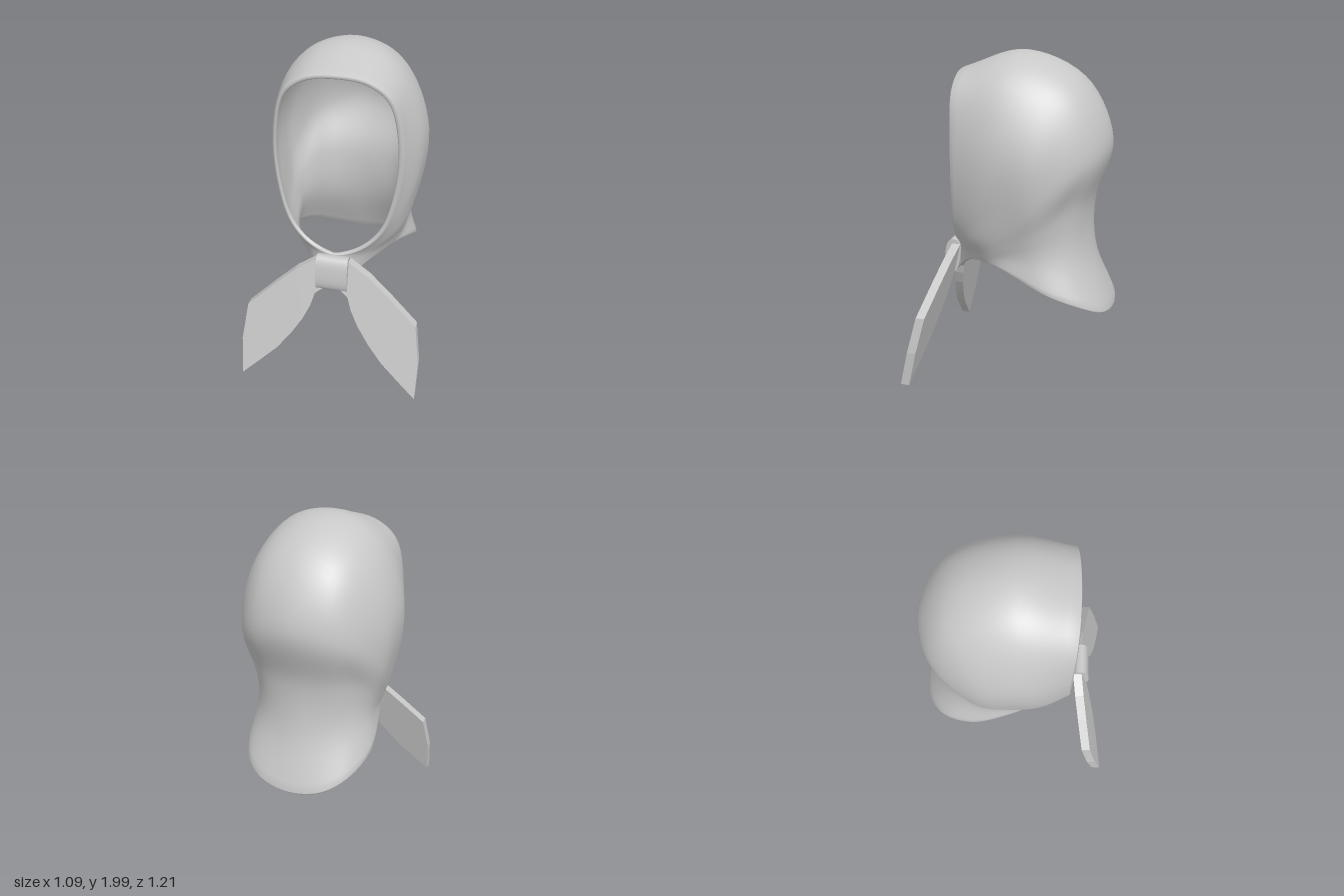
import * as THREE from 'three';

const V = (x, y, z) => new THREE.Vector3(x, y, z);

// Left half of the hood: lines running from the face edge to the neck hem,
// ordered from the crown centre down the side to the chin
const ribs = [
  [[0, 1.895, .335], [0, 2, -.02], [0, 1.86, -.37], [0, 1.5, -.555], [0, 1.12, -.458], [0, .82, -.475], [0, .47, -.6]],
  [[.18, 1.87, .33], [.2, 1.95, -.02], [.21, 1.79, -.37], [.21, 1.45, -.51], [.2, 1.12, -.42], [.2, .84, -.42], [.2, .5, -.565]],
  [[.31, 1.77, .32], [.345, 1.81, 0], [.35, 1.68, -.28], [.34, 1.38, -.41], [.31, 1.1, -.33], [.3, .86, -.33], [.33, .57, -.46]],
  [[.37, 1.5, .31], [.447, 1.52, .05], [.457, 1.42, -.16], [.43, 1.2, -.22], [.375, 1, -.21], [.36, .85, -.21], [.395, .65, -.27]],
  [[.35, 1.2, .32], [.425, 1.2, .14], [.43, 1.14, 0], [.41, 1.03, -.06], [.38, .93, -.07], [.36, .84, -.07], [.37, .735, -.06]],
  [[.275, .97, .34], [.345, .93, .2], [.34, .85, .11], [.31, .775, .11]],
  [[.15, .85, .365], [.185, .8, .31], [.2, .745, .27]],
  [[0, .81, .385], [0, .62, .4]],
];

function hoodGeometry(nu = 80, nv = 40, thick = 0.024) {
  const curves = ribs.map(r => new THREE.CatmullRomCurve3(r.map(p => V(...p))));
  // Outer skin: one closed ring per step from face edge to hem
  const outer = [];
  for (let j = 0; j <= nv; j++) {
    const half = curves.map(c => c.getPoint(j / nv));
    const other = half.slice(1, -1).reverse().map(p => V(-p.x, p.y, p.z));
    const ring = new THREE.CatmullRomCurve3([...half, ...other], true);
    outer.push(Array.from({ length: nu }, (_, i) => ring.getPoint(i / nu)));
  }
  // Inner skin, offset along the surface normals
  const inner = outer.map((row, j) => row.map((p, i) => {
    const du = row[(i + 1) % nu].clone().sub(row[(i + nu - 1) % nu]);
    const dv = outer[Math.min(j + 1, nv)][i].clone().sub(outer[Math.max(j - 1, 0)][i]);
    return p.clone().addScaledVector(du.cross(dv).normalize(), -thick);
  }));
  // Rounded rims joining the skins
  const rim = j => outer[j].map((p, i) => {
    const out = p.clone().sub(outer[j ? j - 1 : 1][i]).normalize();
    return p.clone().lerp(inner[j][i], 0.5).addScaledVector(out, thick * 0.35);
  });
  const rows = [...outer, rim(nv), ...inner.reverse()];
  inner.reverse();
  rows.push(rim(0));
  const index = [], n = rows.length;
  for (let j = 0; j < n; j++) for (let i = 0; i < nu; i++) {
    const i2 = (i + 1) % nu, j2 = (j + 1) % n;
    const a = j * nu + i, b = j * nu + i2, c = j2 * nu + i2, d = j2 * nu + i;
    index.push(a, b, c, a, c, d);
  }
  const g = new THREE.BufferGeometry().setFromPoints(rows.flat());
  g.setIndex(index);
  g.computeVertexNormals();
  return g;
}

// Band wrapped round the tie: a squarish rounded tube lying along x
function knotGeometry() {
  const g = new THREE.CylinderGeometry(1, 1, 0.19, 32);
  g.rotateZ(Math.PI / 2);
  const p = g.attributes.position;
  const soft = v => Math.sign(v) * Math.abs(v) ** 0.75;
  for (let i = 0; i < p.count; i++) p.setXYZ(i, p.getX(i), soft(p.getY(i)) * 0.11, soft(p.getZ(i)) * 0.05);
  g.computeVertexNormals();
  g.rotateX(-0.12);
  g.translate(0, 0.71, 0.422);
  return g;
}

// Thick pointed tail, leaning forward towards its tip
function tailGeometry(side) {
  const outline = [[.05, .8], [.1, .79], [.22, .715], [.35, .605], [.515, .455], [.547, .23], [.54, .005],
    [.44, .095], [.326, .2], [.24, .305], [.17, .41], [.125, .5], [.1, .58], [.05, .62]];
  const shape = new THREE.Shape(outline.map(([x, y]) => new THREE.Vector2(side * x, y)));
  const g = new THREE.ExtrudeGeometry(shape, { depth: 0.055, bevelEnabled: false });
  const p = g.attributes.position;
  for (let i = 0; i < p.count; i++) p.setZ(i, p.getZ(i) + 0.557 - 0.24 * p.getY(i));
  g.computeVertexNormals();
  return g;
}

export function createModel() {
  const cloth = new THREE.MeshStandardMaterial({ color: 0xc8c8c8 });
  cloth.name = 'grey cloth';
  const model = new THREE.Group();
  model.name = 'headscarf';
  const add = (name, geometry) => {
    const mesh = new THREE.Mesh(geometry, cloth);
    mesh.name = name;
    model.add(mesh);
  };
  add('hood', hoodGeometry());
  add('knot', knotGeometry());
  add('leftTail', tailGeometry(1));
  add('rightTail', tailGeometry(-1));
  return model;
}
